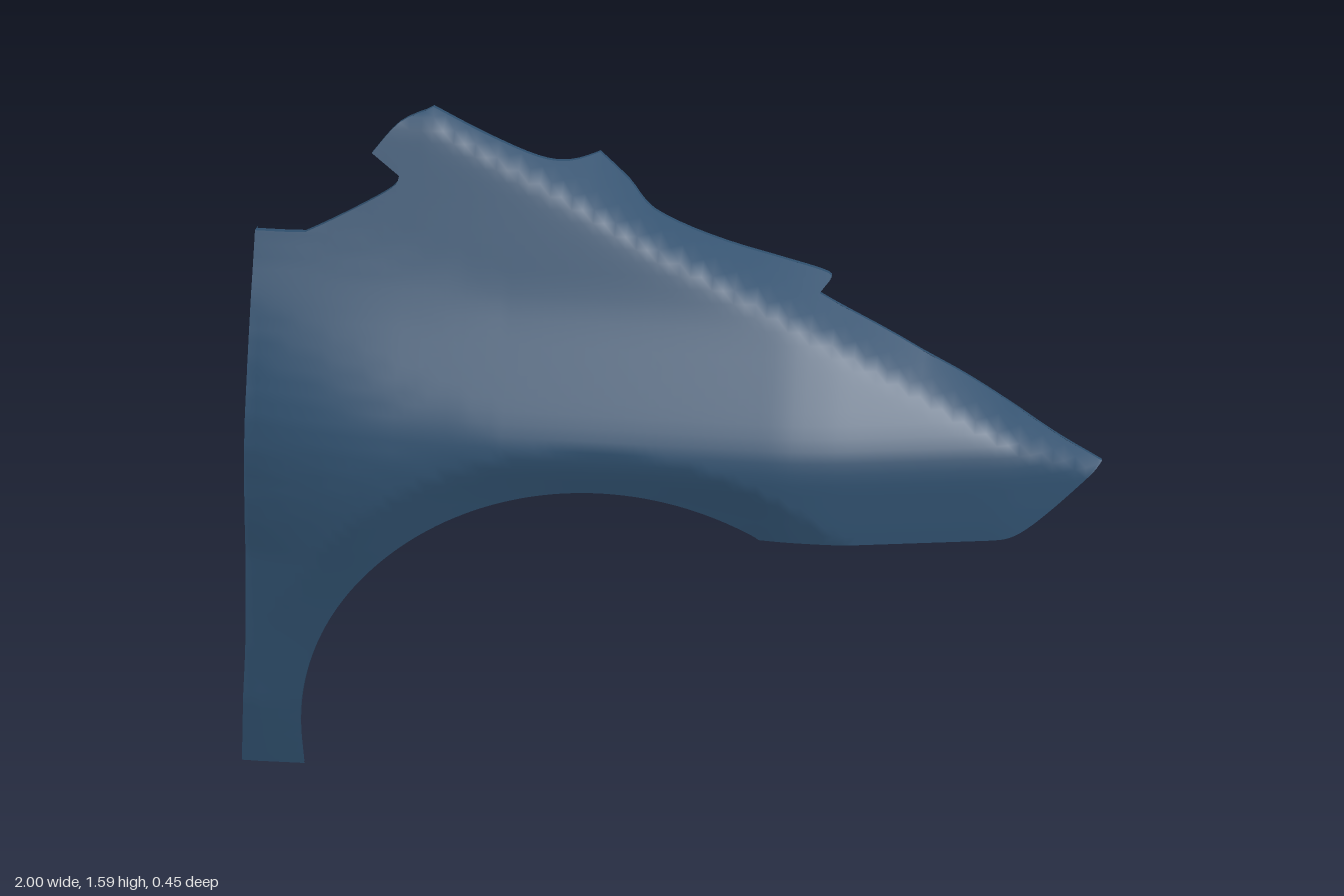
import * as THREE from 'three';

// Linear interpolation in a short table of [position, value]
function table(rows, t) {
  if (t <= rows[0][0]) return rows[0][1];
  for (let i = 1; i < rows.length; i++) {
    const [a, va] = rows[i - 1], [b, vb] = rows[i];
    if (t <= b) return va + (vb - va) * (t - a) / (b - a);
  }
  return rows[rows.length - 1][1];
}
// The same table with its corners rounded over a width w
function soft(rows, t, w) {
  let sum = 0;
  for (let i = -4; i <= 4; i++) sum += (5 - Math.abs(i)) * table(rows, t + w * i / 4);
  return sum / 25;
}

function curve(points, n) {
  return new THREE.SplineCurve(points.map(p => new THREE.Vector2(...p))).getPoints(n);
}

// Wheel arch: a circular arc with a short straight foot
const wheel = { x: -0.11, y: 0.08, r: 0.74, band: 0.85 };
const arch = [new THREE.Vector2(-0.85, 0.015)];
for (let i = 0; i <= 64; i++) {
  const a = Math.PI + (1.083 - Math.PI) * i / 64;
  arch.push(new THREE.Vector2(wheel.x + wheel.r * Math.cos(a), wheel.y + wheel.r * Math.sin(a)));
}
arch.push(new THREE.Vector2(0.245, 0.727));
// Rest of the outline seen from the front, counter-clockwise
const sill = [];
for (let i = 0; i <= 20; i++) sill.push(new THREE.Vector2(0.245 + 0.515 * i / 20, 0.727));
const nose = curve([[0.76, 0.727], [0.8, 0.73], [0.84, 0.748], [0.9, 0.793], [1, 0.878]], 16);
const hoodEdge = curve([[1, 0.878], [0.8, 1.0], [0.6, 1.11], [0.35, 1.225]], 16);
const flange = curve([[0.37, 1.24], [0.35, 1.255], [0.15, 1.31], [-0.02, 1.372], [-0.1, 1.43], [-0.17, 1.478]], 24);
const scoop = curve([[-0.17, 1.478], [-0.23, 1.475], [-0.3, 1.49], [-0.42, 1.537], [-0.54, 1.59]], 16);
const tab = curve([[-0.54, 1.59], [-0.61, 1.565], [-0.67, 1.5]], 8);
const notch = curve([[-0.605, 1.455], [-0.62, 1.43], [-0.7, 1.385], [-0.8, 1.337], [-0.83, 1.33], [-0.93, 1.33]], 20);
const doorEdge = curve([[-0.93, 1.33], [-0.935, 1], [-0.945, 0.7], [-0.96, 0.4], [-0.98, 0.2], [-1, 0.015]], 32);
const outline = [arch, sill, nose, hoodEdge, flange, scoop, tab, notch, doorEdge].flat()
  .filter((p, i, all) => i === 0 || p.distanceTo(all[i - 1]) > 1e-5);

// Depth of the skin at a point of the outline's plane
const section = [[-0.3, 0.065], [0, 0.123], [0.2, 0.165], [0.4, 0.2], [0.6, 0.222], [0.75, 0.228], [0.93, 0.224],
  [1.0, 0.18], [1.2, 0.047], [1.42, -0.05], [1.59, -0.12], [1.8, -0.2]];
const sectionBlur = [[-0.93, 0.25], [-0.35, 0.07]];
const noseTaper = [[0.3, 0], [0.4, 0.012], [0.8, 0.095], [0.9, 0.14], [1, 0.193]];
const doorX = [[0, -1], [0.2, -0.98], [0.4, -0.96], [0.7, -0.945], [1, -0.935], [1.33, -0.93]];
const doorDrop = [[0, 0], [0.2, 0.008], [0.4, 0.03], [0.6, 0.052], [0.8, 0.052], [1, 0.036], [1.2, 0.007], [1.33, 0]];
const archDrop = [[0, 0.004], [0.4, 0.015], [0.8, 0.024]];
const crease = [[-0.55, 1.575], [0, 1.32], [0.4, 1.15], [1, 0.86]];
const creaseSlope = [[-0.18, 1.75], [0, 2.2], [0.2, 2], [0.35, 1.6], [0.6, 1.1], [0.8, 1.8], [1, 1.5]];

function depth(x, y) {
  let z = soft(section, y, table(sectionBlur, x)) - soft(noseTaper, x, 0.05);
  // Door side curves back
  const d = Math.min(1, Math.max(0, (x - table(doorX, y)) / 0.35));
  z -= table(doorDrop, y) * (1 - d) ** 2;
  // Upper strip folds over along the crease
  const over = y - table(crease, x), r = 0.012;
  z -= table(creaseSlope, x) * (over + Math.sqrt(over * over + r * r)) / 2;
  // Wheel-arch band turns inwards
  const radius = Math.hypot(x - wheel.x, Math.max(0, y - wheel.y));
  return z - table(archDrop, y) * Math.max(0, (wheel.band - radius) / (wheel.band - wheel.r));
}

// Cut a polygon at a line parallel to an axis
function clip(poly, axis, limit, sign) {
  const out = [];
  poly.forEach((p, i) => {
    const q = poly[(i + 1) % poly.length];
    const a = sign * (p[axis] - limit), b = sign * (q[axis] - limit);
    if (a >= 0) out.push(p);
    if ((a > 0 && b < 0) || (a < 0 && b > 0)) out.push(p.clone().lerp(q, a / (a - b)));
  });
  return out;
}

// Skin: the outline cut into small cells, each lifted to its depth
function skinGeometry() {
  const pos = [], nor = [], step = 0.025, e = 0.006;
  const put = p => {
    const { x, y } = p;
    const n = new THREE.Vector3(
      (depth(x - e, y) - depth(x + e, y)) / (2 * e),
      (depth(x, y - e) - depth(x, y + e)) / (2 * e), 1).normalize();
    pos.push(x, y, depth(x, y));
    nor.push(n.x, n.y, n.z);
  };
  for (let x = -1.01; x < 1.01; x += step) {
    const column = clip(clip(outline, 'x', x, 1), 'x', x + step, -1);
    for (let y = 0; y < 1.6; y += step) {
      const cell = clip(clip(column, 'y', y, 1), 'y', y + step, -1);
      if (cell.length < 3) continue;
      for (const [i, j, k] of THREE.ShapeUtils.triangulateShape(cell, [])) {
        const a = cell[i], b = cell[j], c = cell[k];
        const area = (b.x - a.x) * (c.y - a.y) - (b.y - a.y) * (c.x - a.x);
        if (Math.abs(area) < 1e-9) continue;
        (area > 0 ? [a, b, c] : [a, c, b]).forEach(put);
      }
    }
  }
  const g = new THREE.BufferGeometry();
  g.setAttribute('position', new THREE.Float32BufferAttribute(pos, 3));
  g.setAttribute('normal', new THREE.Float32BufferAttribute(nor, 3));
  return g;
}

// Folded lip: a ribbon running back from an edge
function lipGeometry(edge, back, drop = 0) {
  const pos = [], index = [];
  edge.forEach((p, i) => {
    const z = depth(p.x, p.y);
    pos.push(p.x, p.y, z, p.x, p.y - drop, z - back);
    if (i) index.push(2 * i - 2, 2 * i - 1, 2 * i, 2 * i, 2 * i - 1, 2 * i + 1);
  });
  const g = new THREE.BufferGeometry();
  g.setAttribute('position', new THREE.Float32BufferAttribute(pos, 3));
  g.setIndex(index);
  g.computeVertexNormals();
  return g;
}

export function createModel() {
  const group = new THREE.Group();
  group.name = 'fender';
  const paint = new THREE.MeshStandardMaterial({ color: 0x2f4f6d, side: THREE.DoubleSide });
  const add = (name, geometry) => {
    const mesh = new THREE.Mesh(geometry, paint);
    mesh.name = name;
    group.add(mesh);
  };
  add('fenderSkin', skinGeometry());
  add('archLip', lipGeometry(arch, 0.01));
  add('sillLip', lipGeometry(sill, 0.015));
  add('noseLip', lipGeometry(nose, 0.015));
  add('hoodLip', lipGeometry(hoodEdge, 0.01));
  add('flangeLip', lipGeometry(flange, 0.012));
  add('scoopLip', lipGeometry(scoop, 0.012));
  add('tabLip', lipGeometry(tab, 0.012));
  add('notchLip', lipGeometry(notch, 0.015));
  add('doorLip', lipGeometry(doorEdge, 0.03));
  add('footLip', lipGeometry([doorEdge[doorEdge.length - 1], arch[0]], 0.028, 0.015));
  return group;
}
